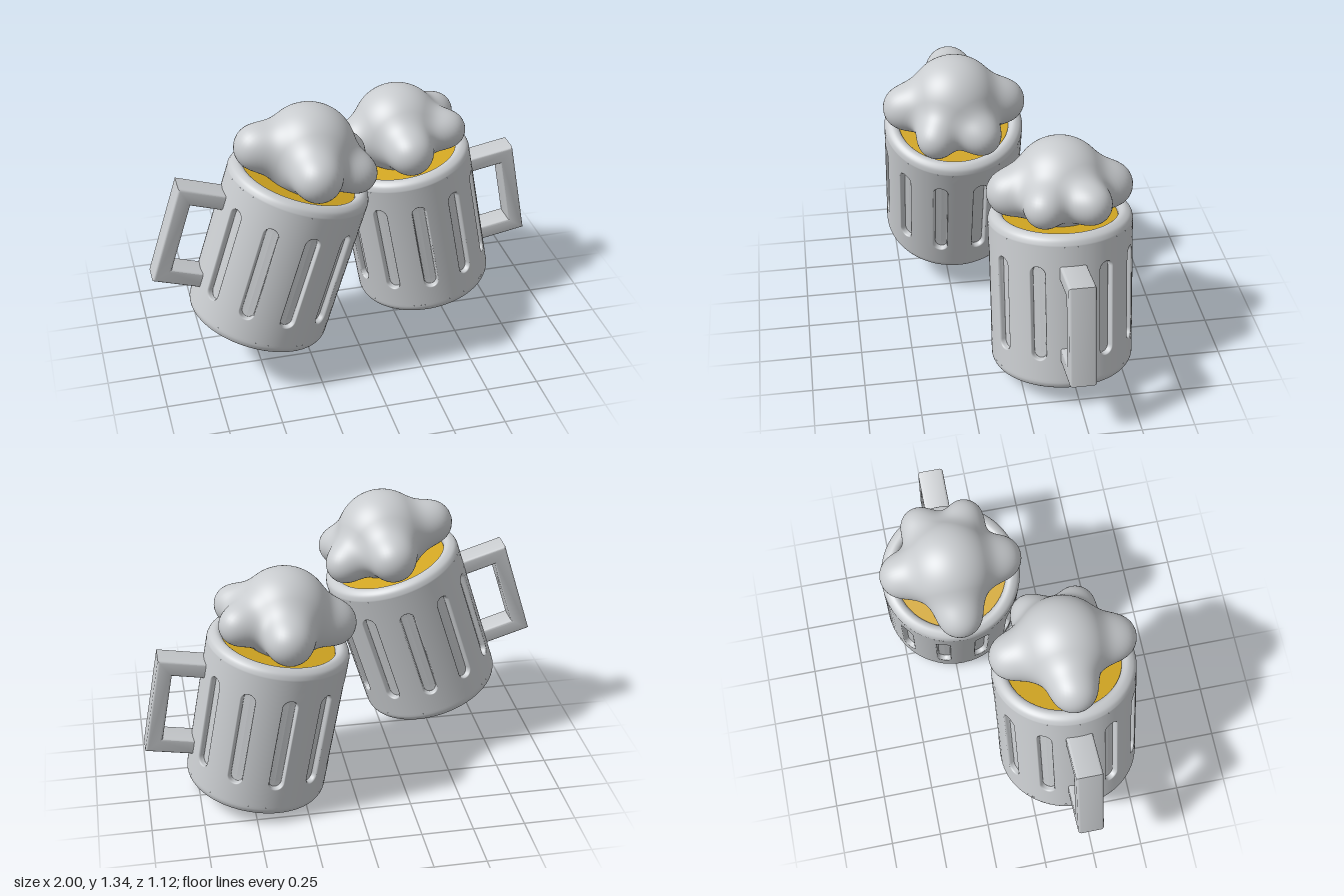
import * as THREE from 'three';
import { toCreasedNormals } from 'three/addons/utils/BufferGeometryUtils.js';

const R = 0.34, HEIGHT = 0.787, WALL_LOW = 0.05, WALL_HIGH = 0.74;
const FIRST_SLOT = THREE.MathUtils.degToRad(28.1);
const SLOT_STEP = (Math.PI * 2 - 2 * FIRST_SLOT) / 9;

const grey = new THREE.MeshStandardMaterial({ color: 0xc9cccf });
grey.name = 'pale grey';
const gold = new THREE.MeshStandardMaterial({ color: 0xd2a622 });
gold.name = 'beer gold';

function mesh(name, geometry, material = grey) {
  const m = new THREE.Mesh(geometry, material);
  m.name = name;
  return m;
}

function lathe(points, steps) {
  const curve = new THREE.SplineCurve(points.map(([x, y]) => new THREE.Vector2(x, y)));
  return new THREE.LatheGeometry(curve.getPoints(steps), 80);
}

// Curved wall panel with one stadium-shaped recess, made of nested loops
function slottedPanel() {
  const halfWidth = R * SLOT_STEP / 2, halfHeight = (WALL_HIGH - WALL_LOW) / 2;
  const straight = 0.205, capSteps = 16, n = 2 * (capSteps + 1);
  // [blend from border to slot, slot half width, depth]
  const rings = [
    [0, 0.040, 0], [0.5, 0.040, 0], [1, 0.040, 0], [1, 0.036, 0.003],
    [1, 0.034, 0.010], [1, 0.034, 0.027], [1, 0.031, 0.028], [1, 0, 0.028],
  ];
  const pos = [], index = [], radial = [];
  rings.forEach(([blend, h, depth], i) => {
    for (let j = 0; j < n; j++) {
      const cap = j > capSteps ? 1 : 0;
      const phi = (j - cap) * Math.PI / capSteps;
      const c = Math.cos(phi), s = Math.sin(phi), m = Math.max(Math.abs(c), Math.abs(s));
      const end = cap ? -straight : straight;
      const u = THREE.MathUtils.lerp(halfWidth * c / m, h * c, blend);
      const v = end + THREE.MathUtils.lerp((halfHeight - straight) * s / m, h * s, blend);
      const a = u / R;
      pos.push((R - depth) * Math.sin(a), v + (WALL_LOW + WALL_HIGH) / 2, (R - depth) * Math.cos(a));
      radial.push(a);
      if (i < rings.length - 1) {
        const k = (j + 1) % n, p = i * n;
        index.push(p + j, p + k, p + n + k, p + j, p + n + k, p + n + j);
      }
    }
  });
  const g = new THREE.BufferGeometry();
  g.setAttribute('position', new THREE.Float32BufferAttribute(pos, 3));
  g.setIndex(index);
  g.computeVertexNormals();
  for (let i = 0; i < 3 * n; i++) {
    g.attributes.normal.setXYZ(i, Math.sin(radial[i]), 0, Math.cos(radial[i]));
  }
  return g;
}

// Square C-shaped handle with softened edges
function handleGeometry() {
  const b = 0.012;
  const outline = [
    [0.30, 0.15 + b], [0.56 - b, 0.15 + b], [0.56 - b, 0.645 - b], [0.30, 0.645 - b],
    [0.30, 0.57 + b], [0.485 + b, 0.57 + b], [0.485 + b, 0.225 - b], [0.30, 0.225 - b],
  ];
  const shape = new THREE.Shape(outline.map(([x, y]) => new THREE.Vector2(x, y)));
  const g = new THREE.ExtrudeGeometry(shape, {
    depth: 0.125 - 2 * b, bevelEnabled: true, bevelThickness: b, bevelSize: b, bevelSegments: 3,
  });
  g.translate(0, 0, -0.0625 + b);
  return toCreasedNormals(g, 0.6);
}

// Foam: spheres melted together, sampled outward from the middle
const BLOBS = [
  [0, 0.13, 0, 0.22], [-0.24, 0.10, 0, 0.11],
  [0, 0.10, 0.235, 0.11], [0, 0.10, -0.235, 0.11],
  [0.22, 0.10, 0.107, 0.095], [0.22, 0.10, -0.107, 0.095],
];
function foamDistance(p) {
  const k = 0.09;
  let d = 10;
  for (const [x, y, z, r] of BLOBS) {
    const e = Math.hypot(p.x - x, p.y - y, p.z - z) - r;
    const h = Math.max(k - Math.abs(d - e), 0) / k;
    d = Math.min(d, e) - h * h * k / 4;
  }
  return d;
}
function foamGeometry() {
  const g = new THREE.SphereGeometry(1, 112, 72);
  const { position, normal } = g.attributes;
  const dir = new THREE.Vector3(), p = new THREE.Vector3(), q = new THREE.Vector3();
  const centre = new THREE.Vector3(0, 0.1, 0), e = 0.002;
  for (let i = 0; i < position.count; i++) {
    dir.fromBufferAttribute(position, i).normalize();
    let t = 0.5;
    for (let s = 0; s < 60; s++) {
      p.copy(centre).addScaledVector(dir, t);
      t -= foamDistance(p) * 0.9;
    }
    p.copy(centre).addScaledVector(dir, t);
    position.setXYZ(i, p.x, p.y, p.z);
    const slope = ['x', 'y', 'z'].map((axis) => {
      q.copy(p)[axis] += e;
      const ahead = foamDistance(q);
      q[axis] -= 2 * e;
      return ahead - foamDistance(q);
    });
    q.fromArray(slope).normalize();
    normal.setXYZ(i, q.x, q.y, q.z);
  }
  return g;
}

export function createModel() {
  const model = new THREE.Group();
  model.name = 'clinkingMugs';

  const panel = slottedPanel();
  const gap = 2 * FIRST_SLOT - SLOT_STEP;
  const plain = new THREE.CylinderGeometry(R, R, WALL_HIGH - WALL_LOW, 8, 1, true, (Math.PI - gap) / 2, gap);
  plain.translate(0, (WALL_HIGH + WALL_LOW) / 2, 0);
  const base = lathe([[0, 0.035], [0.08, 0.035], [0.165, 0.034], [0.19, 0.02], [0.215, 0.006],
    [0.255, 0], [0.30, 0.001], [0.326, 0.011], [0.338, 0.032], [R, WALL_LOW]], 40);
  const rim = lathe([[R, WALL_HIGH], [0.339, 0.75], [0.330, 0.771], [0.310, 0.785],
    [0.292, HEIGHT], [0.277, 0.778], [0.270, 0.76], [0.270, 0.73]], 28);
  const handle = handleGeometry();
  const foam = foamGeometry();
  const beer = new THREE.CircleGeometry(0.275, 64).rotateX(-Math.PI / 2);

  function addMug(name, x, y, z, tilt, turn) {
    const mug = new THREE.Group();
    mug.name = name;
    mug.position.set(x, y, z);
    mug.rotation.z = THREE.MathUtils.degToRad(tilt);

    // Glass body, turned so the handle faces outward
    const body = new THREE.Group();
    body.name = 'body';
    body.rotation.y = turn;
    body.add(mesh('base', base), mesh('rim', rim), mesh('handle', handle), mesh('handleWall', plain));
    for (let i = 0; i < 10; i++) {
      const wall = mesh('slottedWall', panel);
      wall.rotation.y = Math.PI / 2 + FIRST_SLOT + i * SLOT_STEP;
      body.add(wall);
    }

    // Contents
    const liquid = mesh('beer', beer, gold);
    liquid.position.y = 0.755;
    const head = mesh('foam', foam);
    head.position.y = HEIGHT;
    mug.add(body, liquid, head);
    model.add(mug);
  }

  addMug('rightMug', -0.51, 0.25, 0.21, -17.4, Math.PI);
  addMug('leftMug', 0.475, 0.058, -0.215, 10.3, 0);
  return model;
}
